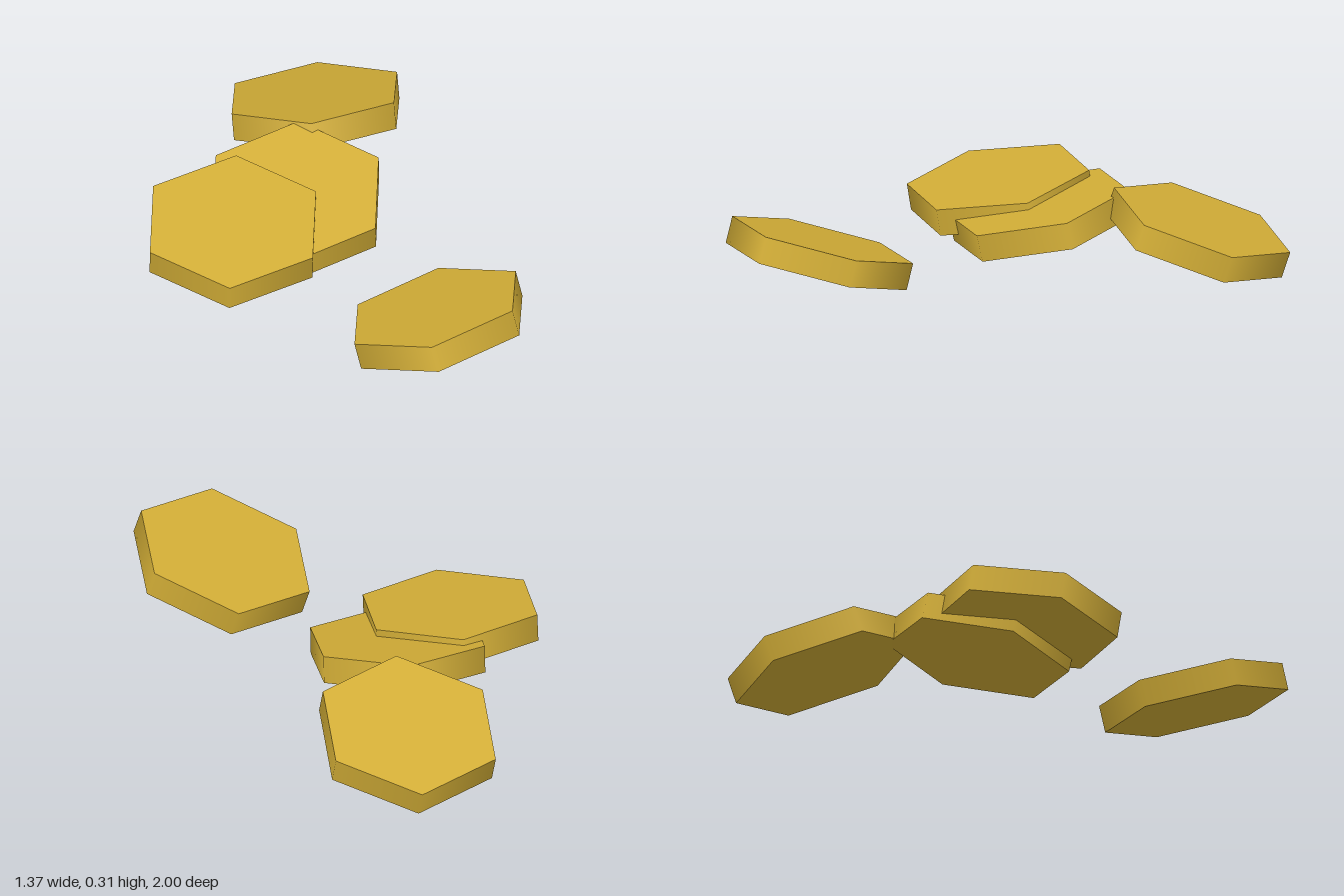
import * as THREE from 'three';

const RADIUS = 0.343;
const THICKNESS = 0.101;

// Centre of each tile's top face, then its tilt about x and z
const TILES = [
  { name: 'backTile', top: [-0.118, 0.203, -0.67], tiltX: -0.3, tiltZ: 0.095 },
  { name: 'middleTile', top: [-0.165, 0.209, -0.051], tiltX: 0.217, tiltZ: 0.01 },
  { name: 'overlappingTile', top: [-0.387, 0.21, 0.144], tiltX: 0.152, tiltZ: -0.018 },
  { name: 'frontTile', top: [0.3675, 0.2075, 0.643], tiltX: -0.197, tiltZ: 0.25 },
];

export function createModel() {
  const model = new THREE.Group();
  model.name = 'scatteredHexTiles';

  const gold = new THREE.MeshStandardMaterial({ color: 0xd4af37 });
  gold.name = 'gold';

  // Six-sided tile with its top face at the local origin
  const hexagon = new THREE.CylinderGeometry(RADIUS, RADIUS, THICKNESS, 6);
  hexagon.translate(0, -THICKNESS / 2, 0);

  for (const { name, top, tiltX, tiltZ } of TILES) {
    const tile = new THREE.Mesh(hexagon, gold);
    tile.name = name;
    tile.position.set(...top);
    tile.rotation.set(tiltX, 0, tiltZ);
    model.add(tile);
  }
  return model;
}
